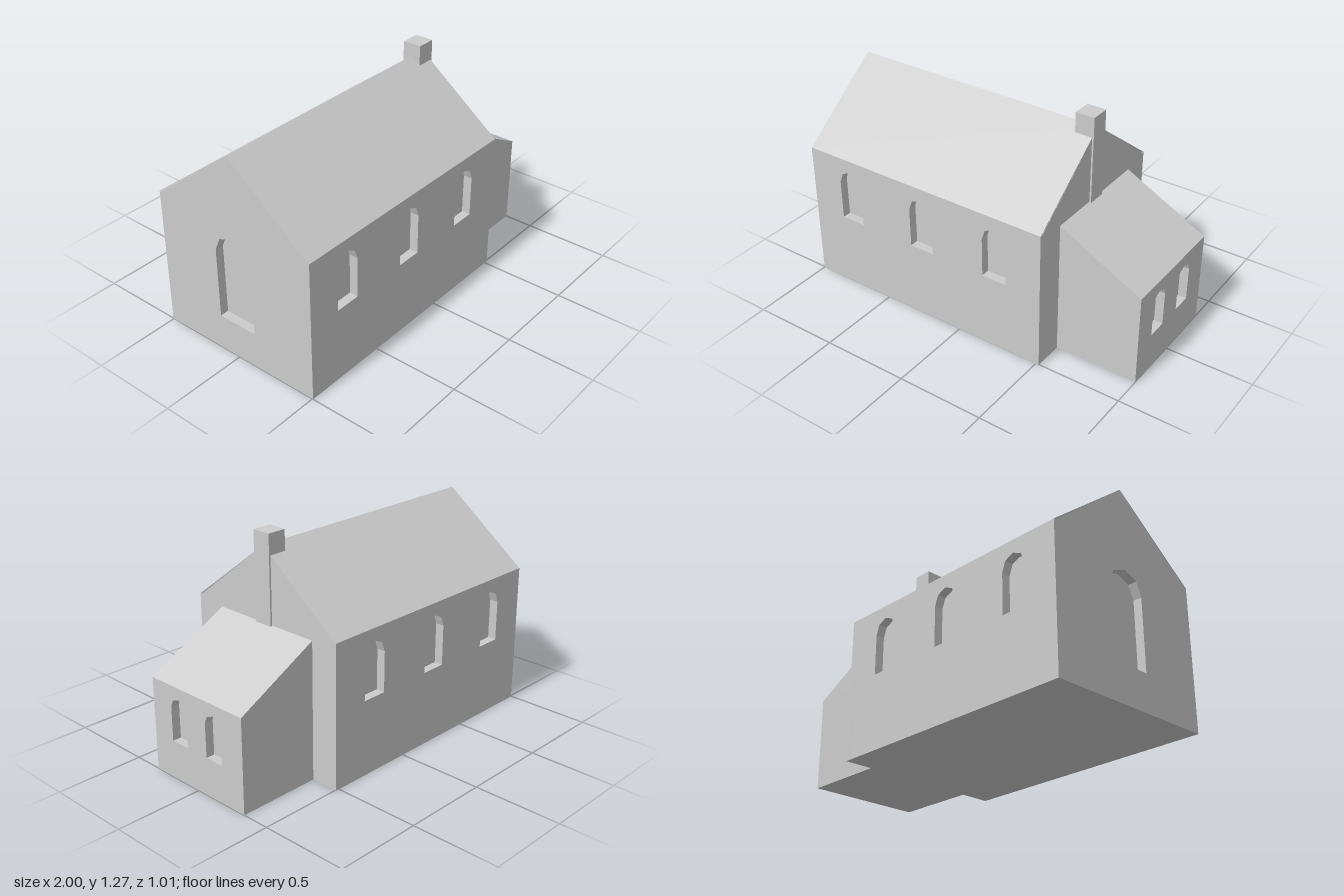
import * as THREE from 'three';

const T = 0.05; // wall thickness, also the depth of the window recesses
const HALF = 0.505, EAVE = 0.81, RIDGE = 1.197;

export function createModel() {
  const group = new THREE.Group();
  const stone = new THREE.MeshStandardMaterial({ color: 0xcccccc });
  stone.name = 'paleStone';

  function add(name, geometry, x = 0, y = 0, z = 0, turn = 0) {
    const mesh = new THREE.Mesh(geometry, stone);
    mesh.name = name;
    mesh.position.set(x, y, z);
    mesh.rotation.y = turn;
    group.add(mesh);
    return mesh;
  }

  const shapeOf = pts => new THREE.Shape(pts.map(([x, y]) => new THREE.Vector2(x, y)));
  const rect = (x0, x1, y0, y1) => [[x0, y0], [x1, y0], [x1, y1], [x0, y1]];

  // Opening with a faceted round head
  const arch = (cx, half, sill, spring, top) => {
    const h = top - spring;
    return [
      [cx - half, sill], [cx + half, sill], [cx + half, spring],
      [cx + half * 0.72, spring + h * 0.7], [cx, top],
      [cx - half * 0.72, spring + h * 0.7], [cx - half, spring],
    ];
  };

  function extrude(pts, depth, holes = []) {
    const shape = shapeOf(pts);
    shape.holes = holes.map(shapeOf);
    return new THREE.ExtrudeGeometry(shape, { depth, bevelEnabled: false });
  }

  function box(name, x0, x1, y0, y1, z0, z1) {
    add(name, new THREE.BoxGeometry(x1 - x0, y1 - y0, z1 - z0),
      (x0 + x1) / 2, (y0 + y1) / 2, (z0 + z1) / 2);
  }

  // Nave: inner block closes the backs of the windows
  box('naveCore', -0.95, 0.47, 0, EAVE, -HALF + T, HALF - T);

  // Long walls, three windows each
  const bays = [-0.728, -0.24, 0.236];
  for (const s of [1, -1]) {
    const ends = s > 0 ? [-0.95, 0.47] : [-0.47, 0.95];
    const windows = bays.map(x => arch(x * s, 0.074, 0.43, 0.66, 0.74));
    add(s > 0 ? 'frontWall' : 'backWall', extrude(rect(...ends, 0, EAVE), T, windows),
      0, 0, s * (HALF - T), s > 0 ? 0 : Math.PI);
  }

  // Gable walls; the west one has a tall central window
  const gable = [[-HALF, 0], [HALF, 0], [HALF, EAVE], [0.495, EAVE],
    [0, RIDGE - 0.006], [-0.495, EAVE], [-HALF, EAVE]];
  add('westGable', extrude(gable, T, [arch(0, 0.12, 0.21, 0.62, 0.73)]),
    -0.95, 0, 0, -Math.PI / 2);
  add('eastGable', extrude(gable, T), 0.47, 0, 0, Math.PI / 2);

  // Thin pitched roof
  const roof = [[-HALF, EAVE - 0.003], [0, RIDGE - 0.007], [HALF, EAVE - 0.003],
    [HALF, EAVE + 0.002], [0, RIDGE], [-HALF, EAVE + 0.002]];
  add('naveRoof', extrude(roof, 1.52), -1, 0, 0, Math.PI / 2);

  // Chimney running up the east gable
  box('chimney', 0.42, 0.53, 0.772, 1.27, -0.055, 0.055);

  // Lower chancel with a lean-to roof
  const front = 0.33, back = -0.342;
  box('chancelCore', 0.5, 0.95, 0, 0.53, back, front);
  add('chancelEndWall', extrude(rect(-front, -back, 0, 0.53), T,
    [-0.131, 0.131].map(x => arch(x, 0.059, 0.215, 0.41, 0.465))),
  0.95, 0, 0, Math.PI / 2);
  add('chancelRoof', extrude([[0.5, 0.53], [1, 0.53], [0.52, 0.78], [0.5, 0.78]], front - back),
    0, 0, back);

  return group;
}
